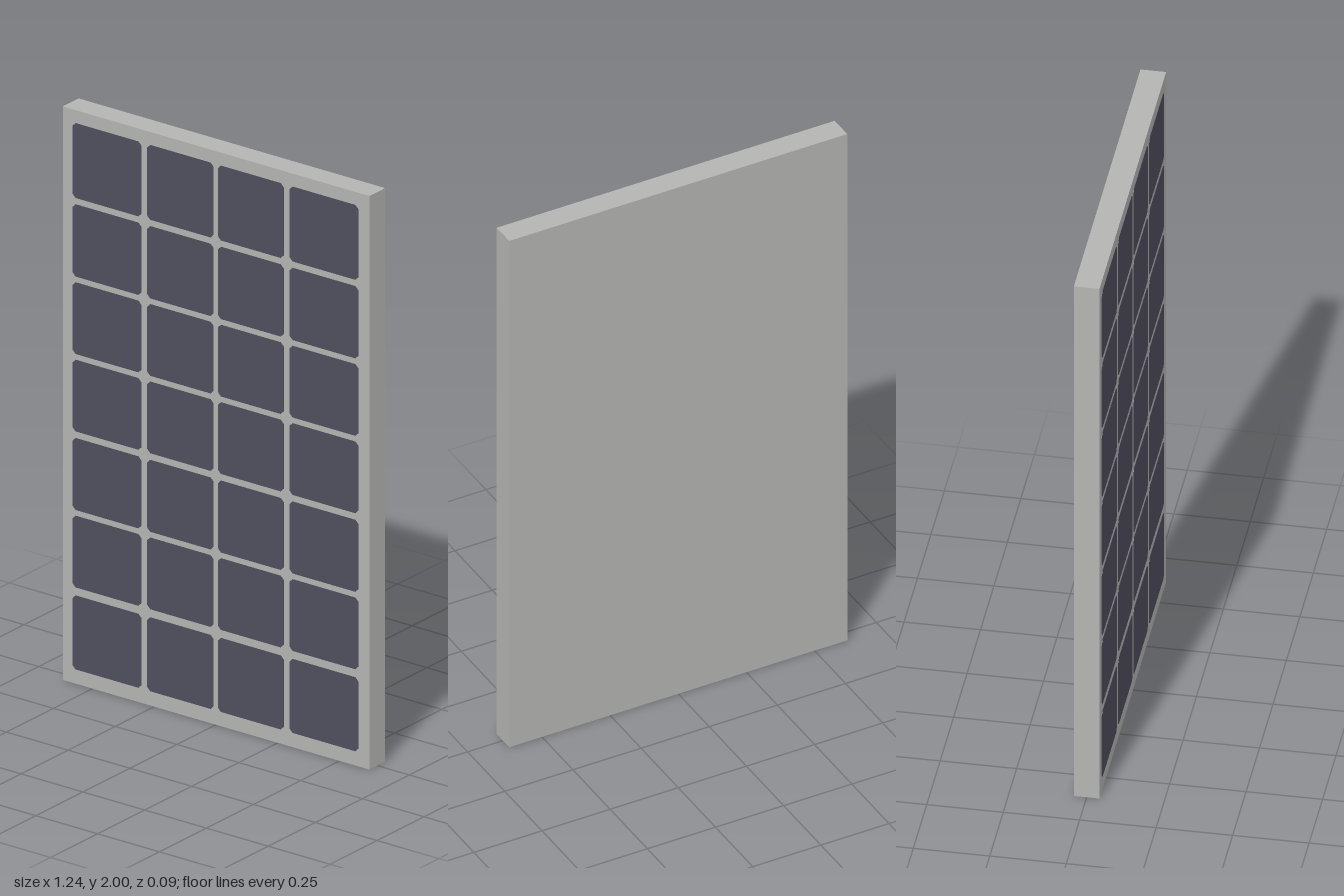
import * as THREE from 'three';

const frameGrey = new THREE.MeshStandardMaterial({ color: 0xb4b4b2 });
frameGrey.name = 'frame grey';
const cellBlue = new THREE.MeshStandardMaterial({ color: 0x4f4e5d });
cellBlue.name = 'cell dark blue';

const WIDTH = 1.24, HEIGHT = 2, DEPTH = 0.084;
const CELL_THICKNESS = 0.001;

// Left/right edges of the cell columns and bottom/top edges of the rows
const COLUMNS = [[-0.58, -0.302], [-0.278, -0.01], [0.008, 0.274], [0.298, 0.576]];
const ROWS = [
  [0.05, 0.308], [0.336, 0.586], [0.606, 0.857], [0.88, 1.13],
  [1.15, 1.4], [1.42, 1.672], [1.694, 1.955],
];

// Thin rectangular plate with clipped corners
function cellGeometry(w, h, cut = 0.012) {
  const x = w / 2, y = h / 2;
  const shape = new THREE.Shape([
    [-x + cut, -y], [x - cut, -y], [x, -y + cut], [x, y - cut],
    [x - cut, y], [-x + cut, y], [-x, y - cut], [-x, -y + cut],
  ].map(([px, py]) => new THREE.Vector2(px, py)));
  return new THREE.ExtrudeGeometry(shape, { depth: CELL_THICKNESS, bevelEnabled: false });
}

export function createModel() {
  const model = new THREE.Group();
  model.name = 'solarPanel';

  // Slab that forms the frame, sides and back
  const panel = new THREE.Mesh(new THREE.BoxGeometry(WIDTH, HEIGHT, DEPTH), frameGrey);
  panel.name = 'panelFrame';
  panel.position.y = HEIGHT / 2;
  model.add(panel);

  // Grid of cells on the front face
  const cells = new THREE.Group();
  cells.name = 'solarCells';
  ROWS.forEach(([y0, y1], r) => COLUMNS.forEach(([x0, x1], c) => {
    const cell = new THREE.Mesh(cellGeometry(x1 - x0, y1 - y0), cellBlue);
    cell.name = `solarCellRow${r + 1}Column${c + 1}`;
    cell.position.set((x0 + x1) / 2, (y0 + y1) / 2, DEPTH / 2);
    cells.add(cell);
  }));
  model.add(cells);

  return model;
}
